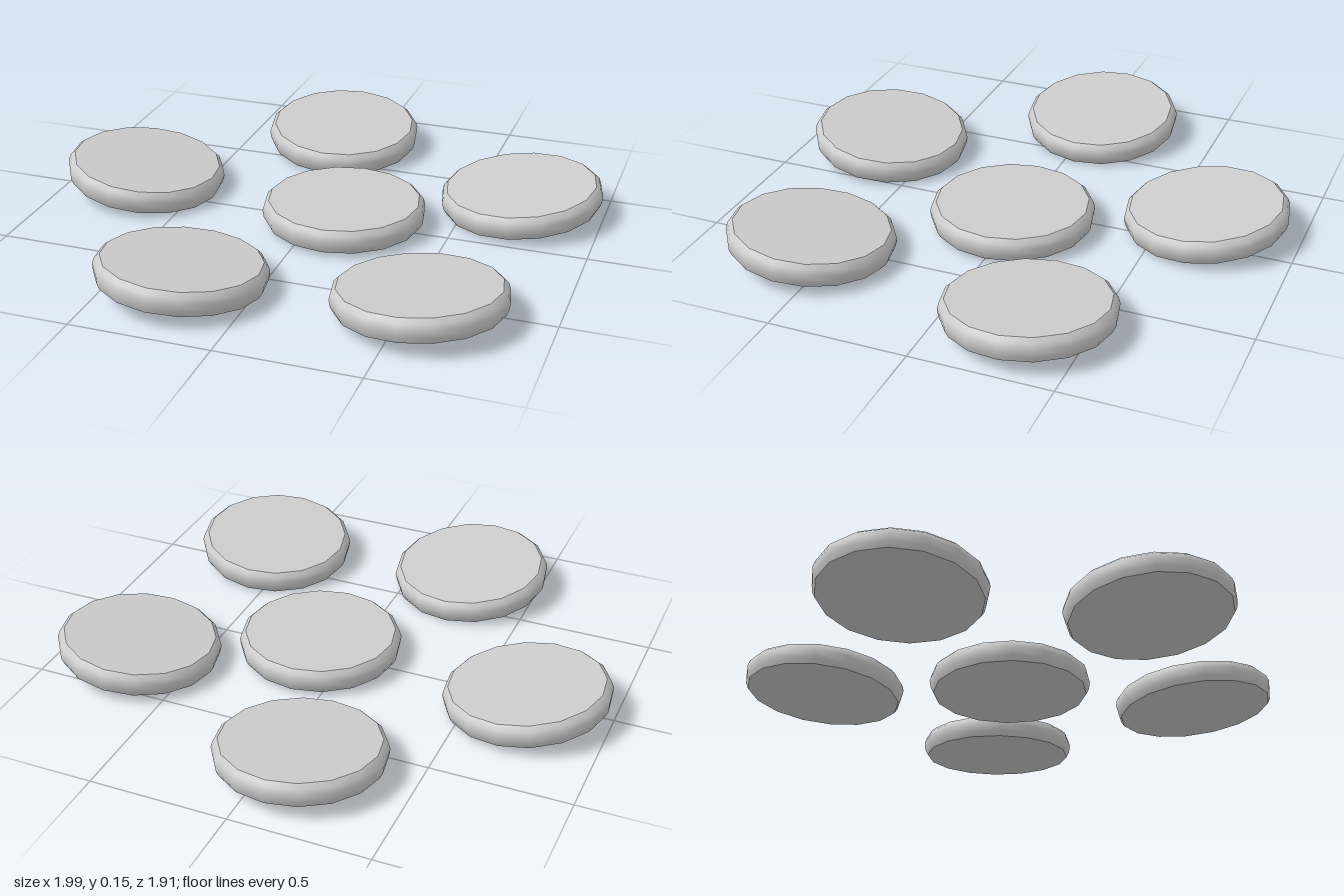
import * as THREE from 'three';
import { toCreasedNormals } from 'three/addons/utils/BufferGeometryUtils.js';

export function createModel() {
  const group = new THREE.Group();
  group.name = 'discCluster';
  const material = new THREE.MeshStandardMaterial({ color: 0xcccccc });

  // Flat 16-sided disc: softened top rim, slightly bulged wall, crisp underside
  const profile = [
    [0, -0.041], [0.283, -0.041], [0.293, -0.022], [0.297, 0.005],
    [0.291, 0.026], [0.275, 0.041], [0, 0.041],
  ].map(([r, y]) => new THREE.Vector2(r, y));
  const geometry = toCreasedNormals(new THREE.LatheGeometry(profile, 16), 0.75);

  // Centre disc lies flat; the others tilt up away from it, more when farther out
  const centre = new THREE.Vector2(0.11, 0);
  const discs = [
    // name, x, z, height, spin in degrees
    ['centreDisc', 0.11, 0, 0.062, 2],
    ['backDisc', -0.107, -0.66, 0.077, 0],
    ['backLeftDisc', 0.70, -0.297, 0.077, 2],
    ['rightDisc', -0.70, -0.056, 0.078, -4],
    ['frontRightDisc', -0.246, 0.657, 0.077, -1],
    ['frontLeftDisc', 0.556, 0.574, 0.078, 1],
  ];
  for (const [name, x, z, y, spin] of discs) {
    const dx = x - centre.x, dz = z - centre.y, dist = Math.hypot(dx, dz);
    const disc = new THREE.Mesh(geometry, material);
    disc.name = name;
    disc.position.set(x, y, z);
    disc.rotation.y = THREE.MathUtils.degToRad(spin);
    if (dist > 0.01) {
      // horizontal axis that lifts the outward edge
      const axis = new THREE.Vector3(-dz / dist, 0, dx / dist);
      disc.rotateOnWorldAxis(axis, THREE.MathUtils.degToRad(8.3 * dist));
    }
    group.add(disc);
  }
  return group;
}
